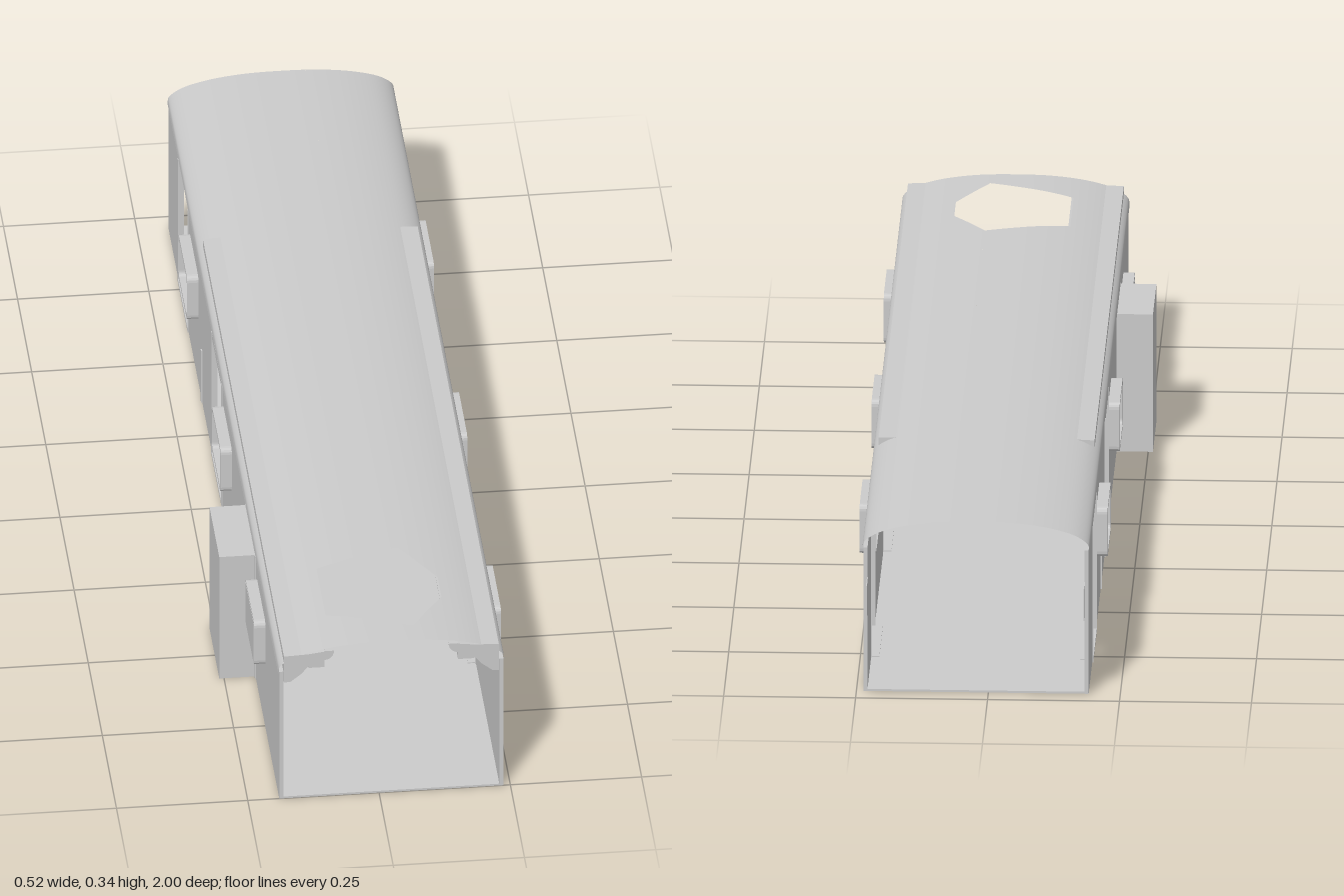
import * as THREE from 'three';
import { mergeVertices } from 'three/addons/utils/BufferGeometryUtils.js';

const CX = 0.0235;              // centre line of the car body
const HALF = 0.2135;            // half width of the body
const FRONT = 1, BACK = -0.96;  // ends of the body
const DOORS = [[-0.78, -0.605], [-0.185, -0.005], [0.41, 0.585]];
const WINDOWS = [-0.508, 0.083, 0.678];
const mat = new THREE.MeshStandardMaterial({ color: 0xcccccc, side: THREE.DoubleSide });

function add(parent, name, geometry, x = 0, y = 0, z = 0) {
  const mesh = new THREE.Mesh(geometry, mat);
  mesh.name = name;
  mesh.position.set(x, y, z);
  parent.add(mesh);
  return mesh;
}

function block(parent, name, x0, x1, y0, y1, z0, z1) {
  const g = new THREE.BoxGeometry(Math.abs(x1 - x0), y1 - y0, z1 - z0);
  return add(parent, name, g, (x0 + x1) / 2, (y0 + y1) / 2, (z0 + z1) / 2);
}

function polygon(points) {
  return new THREE.Shape(points.map(([a, b]) => new THREE.Vector2(a, b)));
}

function roundedRect(w, h, r, Type = THREE.Shape) {
  const s = new Type(), a = w / 2, b = h / 2;
  s.moveTo(-a + r, -b);
  s.lineTo(a - r, -b).quadraticCurveTo(a, -b, a, -b + r);
  s.lineTo(a, b - r).quadraticCurveTo(a, b, a - r, b);
  s.lineTo(-a + r, b).quadraticCurveTo(-a, b, -a, b - r);
  s.lineTo(-a, -b + r).quadraticCurveTo(-a, -b, -a + r, -b);
  return s;
}

// Extrudes a (z, y) outline across the car, centred on x = 0
function acrossCar(shape, depth) {
  const g = new THREE.ExtrudeGeometry(shape, { depth, bevelEnabled: false, curveSegments: 4 });
  return g.translate(0, 0, -depth / 2).rotateY(-Math.PI / 2);
}

// Linear interpolation through sorted [key, value] points
function lookup(points, x) {
  for (let i = 1; i < points.length; i++) {
    const [x0, y0] = points[i - 1], [x1, y1] = points[i];
    if (x <= x1) return y0 + (y1 - y0) * (x - x0) / (x1 - x0);
  }
  return points[points.length - 1][1];
}

// Arched roof sheet with a ragged five-sided opening near the front
function roofGeometry() {
  const half = [[0.2155, 0.284], [0.213, 0.298], [0.192, 0.315], [0.147, 0.33], [0.077, 0.3405]];
  const profile = [
    ...half.map(([d, y]) => [CX - d, y]), [CX, 0.343],
    ...half.map(([d, y]) => [CX + d, y]).reverse(),
  ];
  const curve = new THREE.CatmullRomCurve3(profile.map(([x, y]) => new THREE.Vector3(x, y, 0)));
  const arch = curve.getPoints(50).map(p => [p.x, p.y]).sort((a, b) => a[0] - b[0]);
  const rimBack = [[-0.09, 0.73], [0.07, 0.683], [0.135, 0.783]];
  const rimFront = [[-0.09, 0.89], [0.07, 0.95], [0.135, 0.85]];
  const xs = [...arch.map(p => p[0]), ...rimBack.map(p => p[0])].sort((a, b) => a - b);

  const pos = [];
  const strip = (x0, x1, back0, back1, front0, front1) => {
    const y0 = lookup(arch, x0), y1 = lookup(arch, x1);
    const a = [x0, y0, back0], b = [x0, y0, front0], c = [x1, y1, front1], d = [x1, y1, back1];
    pos.push(...a, ...b, ...c, ...a, ...c, ...d);
  };
  for (let i = 1; i < xs.length; i++) {
    const x0 = xs[i - 1], x1 = xs[i], mid = (x0 + x1) / 2;
    if (x1 - x0 < 1e-5) continue;
    if (mid > -0.09 && mid < 0.135) {
      strip(x0, x1, BACK, BACK, lookup(rimBack, x0), lookup(rimBack, x1));
      strip(x0, x1, lookup(rimFront, x0), lookup(rimFront, x1), FRONT, FRONT);
    } else {
      strip(x0, x1, BACK, BACK, FRONT, FRONT);
    }
  }
  let g = new THREE.BufferGeometry();
  g.setAttribute('position', new THREE.Float32BufferAttribute(pos, 3));
  g = mergeVertices(g, 1e-5);
  g.computeVertexNormals();
  return g;
}

// Side wall with doorways notched from the floor and window holes
function wallGeometry() {
  const outline = [[BACK, 0]];
  for (const [z0, z1] of DOORS) outline.push([z0, 0], [z0, 0.277], [z1, 0.277], [z1, 0]);
  outline.push([FRONT, 0], [FRONT, 0.288], [BACK, 0.288]);
  const shape = polygon(outline);
  for (const z of WINDOWS) {
    const hole = roundedRect(0.146, 0.086, 0.01, THREE.Path);
    shape.holes.push(new THREE.Path(hole.getPoints(4).map(p => p.add(new THREE.Vector2(z, 0.19)))));
  }
  return acrossCar(shape, 0.008);
}

function windowFrameGeometry() {
  const ring = roundedRect(0.156, 0.098, 0.012);
  ring.holes.push(roundedRect(0.142, 0.084, 0.009, THREE.Path));
  return acrossCar(ring, 0.032);
}

function buildSide(s) {
  const side = new THREE.Group();
  side.name = s > 0 ? 'leftSide' : 'rightSide';
  const at = d => CX + s * d;   // distance outward from the centre line

  add(side, 'wall', wallGeometry(), at(HALF - 0.004));
  for (const z of WINDOWS) add(side, 'windowFrame', windowFrameGeometry(), at(0.219), 0.19, z);

  // Door surrounds
  DOORS.forEach(([z0, z1], i) => {
    for (const z of [z0, z1]) block(side, 'doorJamb', at(0.204), at(0.2155), 0, 0.277, z - 0.003, z + 0.003);
    block(side, 'doorSill', at(0.19), at(0.2155), 0, 0.006, z0, z1);
    if (i > 0) block(side, 'doorHeader', at(0.204), at(0.2145), 0.265, 0.277, z0, z1);
  });
  block(side, 'wallRib', at(0.212), at(0.216), 0, 0.117, -0.368, -0.362);

  // Duct along the roof edge, its outer corner showing outside the roof
  const run = (name, pts, z1 = FRONT) => {
    const g = new THREE.ExtrudeGeometry(polygon(pts.map(([d, y]) => [at(d), y])),
      { depth: z1 + 0.435, bevelEnabled: false });
    add(side, name, g, 0, 0, -0.435);
  };
  run('roofDuct', [[0.157, 0.324], [0.2045, 0.322], [0.2045, 0.263], [0.192, 0.264], [0.172, 0.28], [0.157, 0.298]]);
  run('cableTray', [[0.127, 0.328], [0.158, 0.324], [0.158, 0.293], [0.127, 0.293]]);

  // Rounded lamp strip beside the tray
  const lamp = [[0.127, 0.329]];
  for (let i = 0; i <= 6; i++) {
    const a = i / 6 * Math.PI / 2;
    lamp.push([0.127 - 0.018 * Math.cos(a), 0.329 - 0.02 * Math.sin(a)]);
  }
  run('lampStrip', lamp);

  block(side, 'endBracket', at(0.205), at(0.207), 0.16, 0.225, -1, BACK + 0.01);
  return side;
}

export function createModel() {
  const model = new THREE.Group();
  model.name = 'railCarShell';
  block(model, 'floor', CX - HALF, CX + HALF, 0, 0.004, BACK, FRONT);
  add(model, 'roof', roofGeometry());
  for (const s of [1, -1]) model.add(buildSide(s));

  // Closed cabinet standing in one doorway, and the blanked window beside it
  block(model, 'doorwayCabinet', -0.259, -0.154, 0, 0.276, 0.408, 0.58);
  block(model, 'windowPane', -0.212, -0.208, 0.146, 0.234, 0.605, 0.751);
  return model;
}
